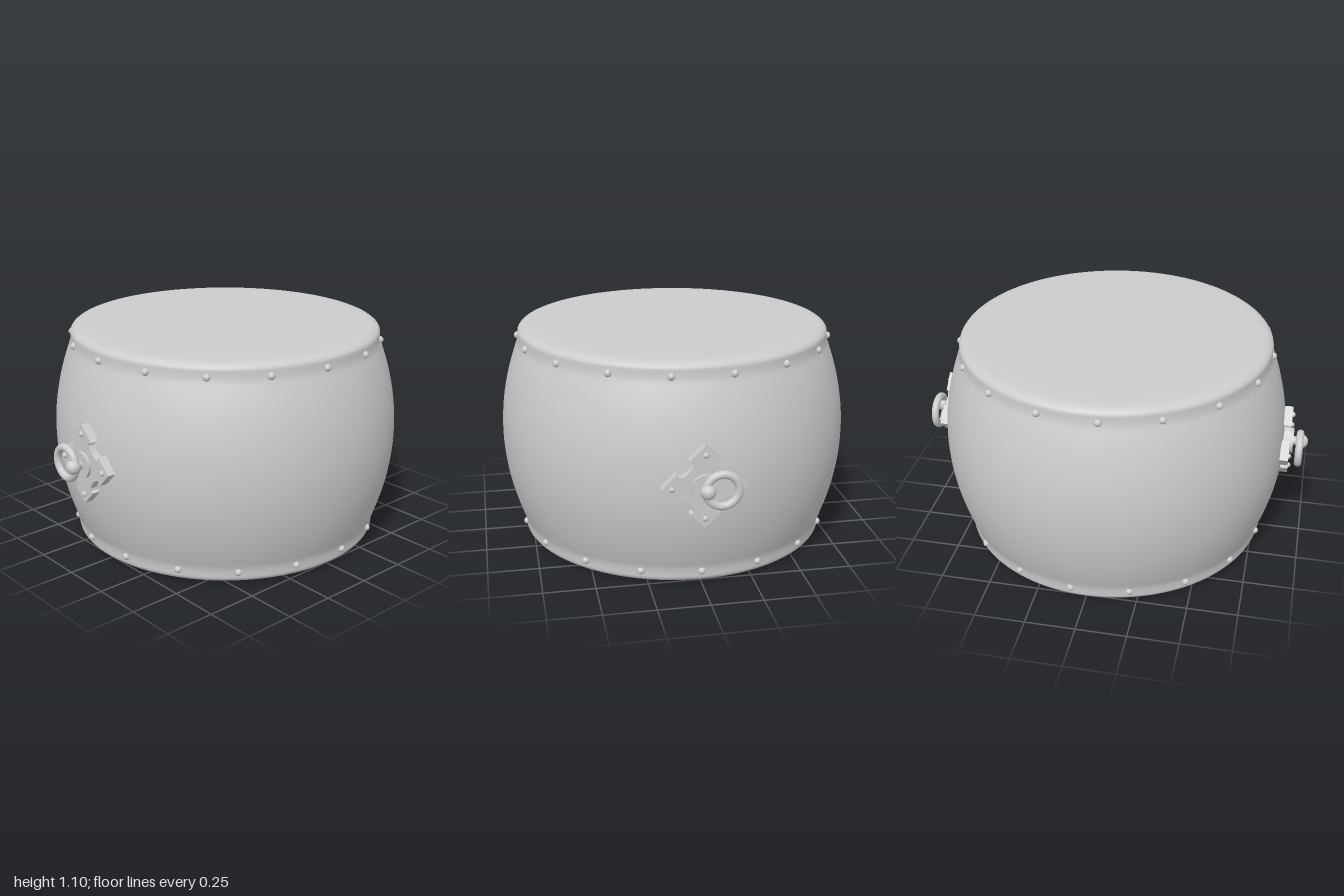
import * as THREE from 'three';
import { mergeVertices } from 'three/addons/utils/BufferGeometryUtils.js';

const MID = 0.5525, NAILS = 17;
const grey = new THREE.MeshStandardMaterial({ color: 0xcccccc, side: THREE.DoubleSide });
const V2 = (x, y) => new THREE.Vector2(x, y);

// barrel radius at a height measured from the middle
const bulge = (d) => 0.88 - 0.1 * (d / 0.48) ** 2;

function add(parent, name, geometry, x = 0, y = 0, z = 0) {
  const mesh = new THREE.Mesh(geometry, grey);
  mesh.name = name;
  mesh.position.set(x, y, z);
  parent.add(mesh);
  return mesh;
}

// stretched skin with a rounded rim and an uneven lower edge
function skinGeometry() {
  const profile = [V2(0.8, 0.43), V2(0.791, 0.455), V2(0.786, 0.475), V2(0.784, 0.5)];
  for (let i = 0; i <= 6; i++) {
    const a = (i / 6) * Math.PI / 2;
    profile.push(V2(0.724 + 0.06 * Math.cos(a), 0.512 + 0.034 * Math.sin(a)));
  }
  profile.push(V2(0.66, 0.5475), V2(0.35, 0.5475), V2(0, 0.5475));
  let geo = new THREE.LatheGeometry(profile, 136);
  const p = geo.attributes.position;
  for (let i = 0; i < p.count; i += profile.length) {
    const a = Math.atan2(p.getZ(i), p.getX(i));
    const y = 0.436 + 0.01 * Math.cos(NAILS * a) + 0.008 * Math.sin(5 * a + 1);
    const r = bulge(y) + 0.001;
    p.setXYZ(i, r * Math.cos(a), y, r * Math.sin(a));
  }
  geo.deleteAttribute('uv');
  geo.deleteAttribute('normal');
  geo = mergeVertices(geo, 1e-5);
  geo.computeVertexNormals();
  return geo;
}

// one drum head with its ring of nails
function makeHead(name) {
  const head = new THREE.Group();
  head.name = name;
  add(head, 'skin', skinGeometry());
  const nail = new THREE.SphereGeometry(0.018, 14, 10);
  for (let k = 0; k < NAILS; k++) {
    const a = Math.PI + (k * Math.PI * 2) / NAILS;
    add(head, 'nail', nail, 0.786 * Math.cos(a), 0.4825, 0.786 * Math.sin(a));
  }
  head.position.y = MID;
  return head;
}

// diamond plate with a notched, scooped cut in each side
function plateGeometry() {
  const shape = new THREE.Shape();
  const spin = (x, y, q) => {
    const c = [1, 0, -1, 0][q], s = [0, 1, 0, -1][q];
    return [x * c - y * s, x * s + y * c];
  };
  shape.moveTo(0.2, 0);
  for (let q = 0; q < 4; q++) {
    const to = (x, y) => shape.lineTo(...spin(x, y, q));
    to(0.128, 0.072);
    to(0.122, 0.054);
    to(0.108, 0.052);
    shape.quadraticCurveTo(...spin(0.095, 0.095, q).map((v) => v * 0.72), ...spin(0.052, 0.108, q));
    to(0.054, 0.122);
    to(0.072, 0.128);
    to(0, 0.2);
  }
  const geo = new THREE.ExtrudeGeometry(shape, { depth: 0.042, bevelEnabled: false, curveSegments: 8 });
  return geo.rotateY(Math.PI / 2);
}

// ring handle, pointing out along +x
function makeHandle(name) {
  const handle = new THREE.Group();
  handle.name = name;
  add(handle, 'plate', plateGeometry(), 0.867);
  const rivet = new THREE.SphereGeometry(0.014, 12, 8);
  for (let q = 0; q < 4; q++) {
    const a = (q * Math.PI) / 2;
    add(handle, 'rivet', rivet, 0.909, 0.153 * Math.sin(a), 0.153 * Math.cos(a));
  }
  const rod = (r, len) => new THREE.CylinderGeometry(r, r, len, 24).rotateZ(Math.PI / 2);
  add(handle, 'hub', rod(0.065, 0.055), 0.8975);
  add(handle, 'post', rod(0.022, 0.06), 0.94);
  add(handle, 'knob', new THREE.SphereGeometry(0.036, 20, 14), 0.964);
  add(handle, 'ring', new THREE.TorusGeometry(0.076, 0.019, 14, 40).rotateY(Math.PI / 2), 0.957, 0, -0.068);
  handle.position.set(0, MID, 0.013);
  return handle;
}

export function createModel() {
  const drum = new THREE.Group();
  drum.name = 'drum';

  // bulging wooden body
  const side = [];
  for (let i = 0; i <= 24; i++) {
    const d = -0.49 + (0.98 * i) / 24;
    side.push(V2(bulge(d), d));
  }
  add(drum, 'body', new THREE.LatheGeometry(side, 96), 0, MID, 0);

  // the lower head and right handle are the same parts turned over
  const bottom = makeHead('bottomHead');
  bottom.rotation.z = Math.PI;
  const right = makeHandle('rightHandle');
  right.rotation.z = Math.PI;
  drum.add(makeHead('topHead'), bottom, makeHandle('leftHandle'), right);
  return drum;
}
